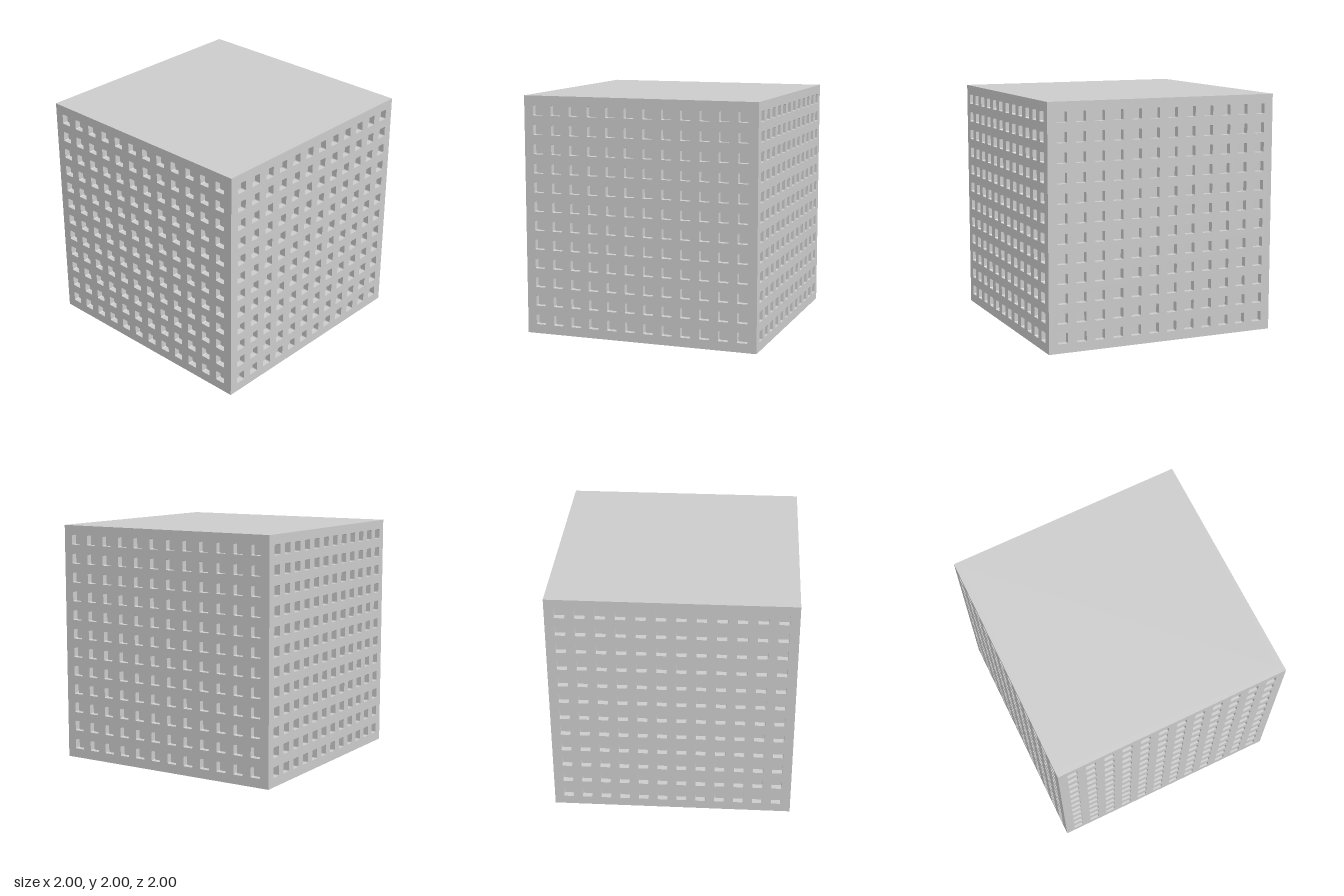
import * as THREE from 'three';

const COUNT = 12;      // openings per row and column
const PITCH = 0.16;
const HOLE = 0.086;    // opening width
const RADIUS = 0.008;  // opening corner radius
const DEPTH = 0.05;    // recess depth

// Square opening with slightly rounded corners
function openingPath(cx, cy) {
  const h = HOLE / 2, r = RADIUS, q = Math.PI / 2, p = new THREE.Path();
  const corners = [[1, 1], [-1, 1], [-1, -1], [1, -1]];
  corners.forEach(([sx, sy], i) =>
    p.absarc(cx + sx * (h - r), cy + sy * (h - r), r, i * q, (i + 1) * q, false));
  p.closePath();
  return p;
}

// Facade panel pierced by a grid of openings, mitred at its vertical edges
function facadeGeometry() {
  const shape = new THREE.Shape();
  shape.moveTo(-1, -1).lineTo(1, -1).lineTo(1, 1).lineTo(-1, 1).closePath();
  for (let row = 0; row < COUNT; row++) {
    for (let col = 0; col < COUNT; col++) {
      const mid = (COUNT - 1) / 2;
      shape.holes.push(openingPath((col - mid) * PITCH, (row - mid) * PITCH));
    }
  }
  const geo = new THREE.ExtrudeGeometry(shape, { depth: DEPTH, bevelEnabled: false, curveSegments: 2 });
  geo.translate(0, 1, 1 - DEPTH);
  const pos = geo.attributes.position;
  for (let i = 0; i < pos.count; i++) {
    const x = pos.getX(i);
    if (Math.abs(x) > 0.99 && pos.getZ(i) < 1 - DEPTH / 2) pos.setX(i, Math.sign(x) * (1 - DEPTH));
  }
  geo.computeVertexNormals();
  return geo;
}

export function createModel() {
  const model = new THREE.Group();
  model.name = 'windowedBlock';
  const material = new THREE.MeshStandardMaterial({ color: 0xcccccc });

  // Solid core closes the top and bottom and backs the recesses
  const inner = 2 - 2 * DEPTH;
  const core = new THREE.Mesh(new THREE.BoxGeometry(inner, 2, inner), material);
  core.name = 'core';
  core.position.y = 1;
  model.add(core);

  // Same facade on all four sides
  const geometry = facadeGeometry();
  ['frontFacade', 'leftFacade', 'backFacade', 'rightFacade'].forEach((name, i) => {
    const facade = new THREE.Mesh(geometry, material);
    facade.name = name;
    facade.rotation.y = i * Math.PI / 2;
    model.add(facade);
  });
  return model;
}
